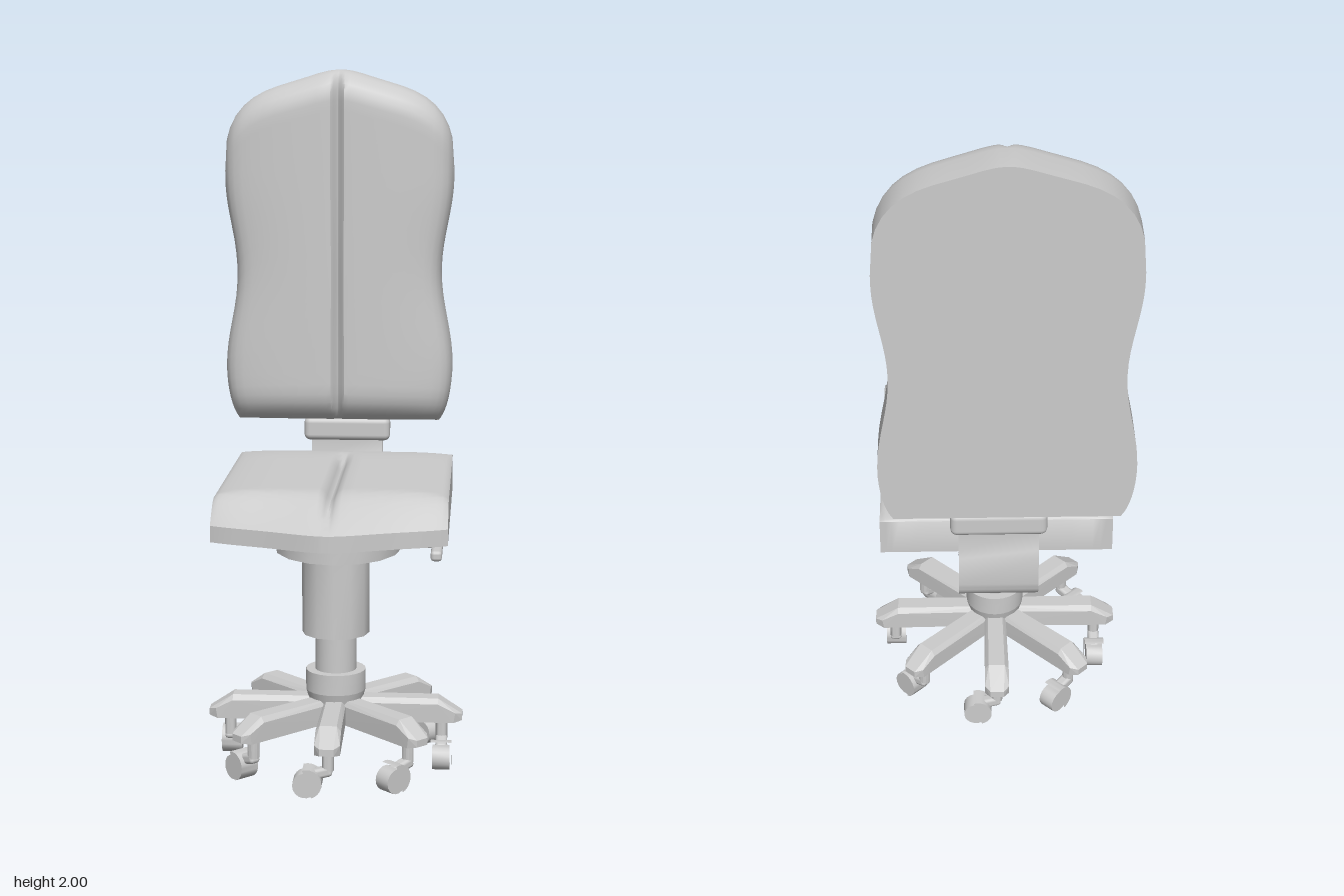
import * as THREE from 'three';
import { toCreasedNormals } from 'three/addons/utils/BufferGeometryUtils.js';
import { RoundedBoxGeometry } from 'three/addons/geometries/RoundedBoxGeometry.js';
import { ConvexGeometry } from 'three/addons/geometries/ConvexGeometry.js';

const material = new THREE.MeshStandardMaterial({ color: 0xcccccc });
const clamp = THREE.MathUtils.clamp;

function add(parent, name, geometry, x = 0, y = 0, z = 0) {
  const mesh = new THREE.Mesh(geometry, material);
  mesh.name = name;
  mesh.position.set(x, y, z);
  parent.add(mesh);
  return mesh;
}

const cylinder = (rTop, rBottom, height, sides = 24) =>
  toCreasedNormals(new THREE.CylinderGeometry(rTop, rBottom, height, sides), 0.7);

// Quarter-round rise from 0 to 1
const round = (t) => Math.sqrt(1 - (1 - clamp(t, 0, 1)) ** 2);

// Grid steps, closest at the centre seam and at the edges
const half = [0.015, 0.035, 0.06, 0.1, 0.18, 0.3, 0.42, 0.54, 0.65, 0.75, 0.83, 0.9, 0.95, 0.98, 1];
const us = [...half.map((u) => -u).reverse(), 0, ...half];
const vs = Array.from({ length: 33 }, (_, i) => 0.5 - 0.5 * Math.cos((i / 32) * Math.PI));

// Closed pad: shaped face, walls straight down to a flat base at height `base`
function cushion(surface, base) {
  const positions = [], index = [];
  const nu = us.length, nv = vs.length, count = nu * nv;
  for (const flat of [false, true])
    for (const v of vs)
      for (const u of us) {
        const [a, b, h] = surface(u, v);
        positions.push(a, b, flat ? base : h);
      }
  const quad = (a, b, c, d) => index.push(a, b, c, a, c, d);
  for (let j = 0; j < nv - 1; j++)
    for (let i = 0; i < nu - 1; i++) {
      const a = j * nu + i, b = a + 1, c = b + nu, d = a + nu;
      quad(a, b, c, d);
      quad(a + count, d + count, c + count, b + count);
    }
  const wall = (p, q) => quad(p + count, q + count, q, p);
  for (let i = 0; i < nu - 1; i++) {
    wall(i, i + 1);
    wall((nv - 1) * nu + i + 1, (nv - 1) * nu + i);
  }
  for (let j = 0; j < nv - 1; j++) {
    wall(j * nu + nu - 1, (j + 1) * nu + nu - 1);
    wall((j + 1) * nu, j * nu);
  }
  const geometry = new THREE.BufferGeometry();
  geometry.setAttribute('position', new THREE.Float32BufferAttribute(positions, 3));
  geometry.setIndex(index);
  return toCreasedNormals(geometry, 0.7);
}

// Backrest: waisted sides, domed top, bulging front with a vertical seam
function backSurface(u, v) {
  const k = Math.abs(u), bottom = 0.94;
  const top = 1.7 + 0.268 * Math.pow(Math.max(0, 1 - k ** 2.8), 1 / 2.8) + 0.032 * Math.exp(-((u / 0.3) ** 2));
  const y = bottom + (top - bottom) * v;
  const halfWidth = 0.328 + 0.018 * Math.cos(((Math.min(y, 1.68) - 1.1) * 2 * Math.PI) / 0.58)
    - 0.018 * Math.exp(-(y - bottom) / 0.03);
  const ends = round((top - y) / 0.08) * round((y - bottom) / 0.1);
  const bulge = 0.4 * round((1 - k) / 0.12) + 0.6 * round((1 - k) / 0.75);
  const seam = 0.03 * Math.exp(-((u / 0.035) ** 2)) * ends;
  return [-0.022 + u * halfWidth, y, -0.4 + 0.09 * ends * bulge - seam];
}

// Seat: bowed front edge that slopes down, shallow crown and a seam
function seatSurface(u, v) {
  const k = Math.abs(u), rear = -0.375;
  const front = 0.39 + 0.11 * (1 - Math.pow(k, 1.5)) - 0.012 * Math.sin(k * Math.PI) ** 2;
  const z = front + (rear - front) * v;
  const crown = round((1 - k) / 0.45) * round((z - rear) / 0.2);
  const slope = clamp((z - 0.31) / (front - 0.31), 0, 1);
  const seam = 0.03 * Math.exp(-((u / 0.05) ** 2)) * clamp((z + 0.3) / 0.15, 0, 1) * (1 - slope);
  return [0.004 + u * 0.325, -z, 0.836 + 0.024 * crown * (1 - slope) - 0.06 * slope ** 1.3 - seam];
}

// Bent arm joining the seat mechanism to the backrest
function armGeometry(width) {
  const s = new THREE.Shape();
  s.moveTo(0.1, 0.64);
  s.lineTo(0.43, 0.64);
  s.quadraticCurveTo(0.485, 0.645, 0.488, 0.7);
  s.lineTo(0.488, 0.79);
  s.lineTo(0.478, 0.81);
  s.lineTo(0.478, 0.88);
  s.lineTo(0.445, 0.88);
  s.lineTo(0.445, 0.81);
  s.lineTo(0.435, 0.79);
  s.lineTo(0.435, 0.75);
  s.quadraticCurveTo(0.43, 0.725, 0.4, 0.725);
  s.lineTo(0.1, 0.725);
  const g = new THREE.ExtrudeGeometry(s, { depth: width, bevelEnabled: false, curveSegments: 10 });
  g.translate(0, 0, -width / 2).rotateY(Math.PI / 2);
  return toCreasedNormals(g, 0.6);
}

// One base leg pointing to +x, with its trailing caster
function baseLeg() {
  const leg = new THREE.Group();
  leg.name = 'baseLeg';
  const points = [];
  for (const s of [-1, 1])
    for (const [x, y, z] of [
      [0, 0.2, 0.022], [0.3, 0.2, 0.024], [0, 0.185, 0.032], [0.3, 0.185, 0.036], [0.35, 0.16, 0.036],
      [0.37, 0.155, 0.02], [0, 0.13, 0.032], [0.345, 0.13, 0.036], [0.37, 0.135, 0.02],
    ]) points.push(new THREE.Vector3(x, y, s * z));
  add(leg, 'legArm', new ConvexGeometry(points));

  add(leg, 'casterStem', cylinder(0.017, 0.017, 0.06, 12), 0.31, 0.105, 0);
  add(leg, 'casterFork', new RoundedBoxGeometry(0.034, 0.03, 0.075, 2, 0.01), 0.31, 0.067, 0.026)
    .rotation.x = 0.25;
  const wheel = cylinder(0.036, 0.036, 0.05, 18);
  wheel.rotateZ(Math.PI / 2);
  add(leg, 'casterWheel', wheel, 0.31, 0.036, 0.063);
  const hood = new THREE.CylinderGeometry(0.042, 0.042, 0.06, 12, 1, false, 0, Math.PI);
  hood.rotateZ(Math.PI / 2);
  hood.rotateX(-Math.PI / 2 + 0.3);
  add(leg, 'casterHood', toCreasedNormals(hood, 0.6), 0.31, 0.042, 0.058);
  return leg;
}

export function createModel() {
  const chair = new THREE.Group();
  chair.name = 'officeChair';

  add(chair, 'backrest', cushion(backSurface, -0.5));
  const seat = cushion(seatSurface, 0.73);
  seat.rotateX(-Math.PI / 2);
  add(chair, 'seat', seat);

  // Backrest support
  add(chair, 'backArm', armGeometry(0.22));
  add(chair, 'backBracket', new RoundedBoxGeometry(0.265, 0.072, 0.065, 3, 0.018), 0, 0.902, -0.457);

  // Seat mechanism and lever
  const plate = cylinder(0.22, 0.22, 0.095, 16);
  plate.scale(0.83, 1, 1);
  add(chair, 'mechanism', plate, 0.007, 0.688, 0.05);
  const rod = cylinder(0.009, 0.009, 0.16, 10);
  rod.rotateZ(Math.PI / 2);
  add(chair, 'leverRod', rod, 0.21, 0.648, 0.03);
  add(chair, 'leverPaddle', new RoundedBoxGeometry(0.032, 0.03, 0.17, 2, 0.01), 0.293, 0.647, 0.09);

  // Gas column
  const column = new THREE.Group();
  column.name = 'column';
  column.position.z = 0.05;
  add(column, 'columnHousing', cylinder(0.098, 0.098, 0.26, 12), 0, 0.52, 0);
  add(column, 'columnTube', cylinder(0.06, 0.06, 0.2), 0, 0.33, 0);
  add(column, 'hub', cylinder(0.087, 0.087, 0.06), 0, 0.25, 0);
  add(column, 'hubFoot', cylinder(0.087, 0.07, 0.06), 0, 0.19, 0);
  chair.add(column);

  // Eight-legged base
  const base = new THREE.Group();
  base.name = 'base';
  base.position.z = 0.05;
  for (let i = 0; i < 8; i++) {
    const leg = baseLeg();
    leg.rotation.y = (i * Math.PI) / 4;
    base.add(leg);
  }
  chair.add(base);
  return chair;
}
